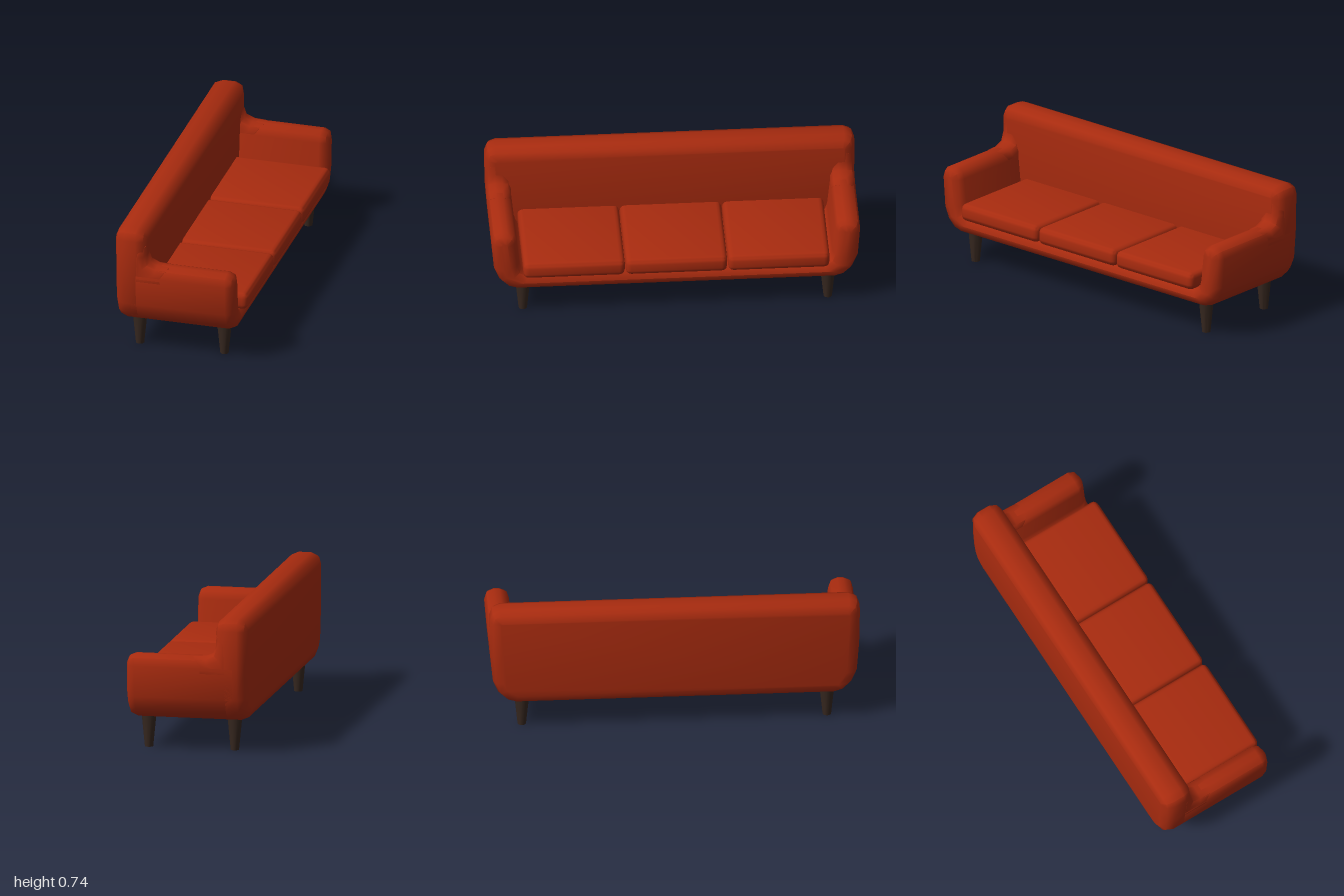
import * as THREE from 'three';
import { toCreasedNormals } from 'three/addons/utils/BufferGeometryUtils.js';
import { RoundedBoxGeometry } from 'three/addons/geometries/RoundedBoxGeometry.js';

const fabric = new THREE.MeshStandardMaterial({ color: 0xa82b0f });
const wood = new THREE.MeshStandardMaterial({ color: 0x36271f });

// Extrudes an outline between two depths, with rounded edges kept inside the outline
function slab(points, from, to, bevel) {
  const shape = new THREE.Shape(points.map(([a, b]) => new THREE.Vector2(a, b)));
  const geo = new THREE.ExtrudeGeometry(shape, {
    depth: to - from - 2 * bevel,
    bevelThickness: bevel, bevelSize: bevel, bevelOffset: -bevel, bevelSegments: 2,
  });
  geo.translate(0, 0, from + bevel);
  return geo;
}

// Completes a half outline by mirroring it
const mirrored = (half) => [...half, ...half.map(([a, b]) => [-a, b]).reverse()];

function addMesh(group, name, geo, material) {
  const mesh = new THREE.Mesh(toCreasedNormals(geo, 0.9), material);
  mesh.name = name;
  group.add(mesh);
  return mesh;
}

export function createModel() {
  const sofa = new THREE.Group();
  sofa.name = 'sofa';

  // Outer side curve shared by the back and the arms, bottom to top
  const side = [[0.86, 0.172], [0.91, 0.188], [0.955, 0.232], [0.983, 0.3], [0.996, 0.47]];

  // Backrest: full width, rounded top corners
  const backOutline = mirrored([...side, [1, 0.68], [0.985, 0.723], [0.942, 0.741]]);
  addMesh(sofa, 'backrest', slab(backOutline, -0.352, -0.175, 0.055).rotateY(Math.PI / 2), fabric);

  // Base and arms: one U-shaped section run from back to front
  const uOutline = mirrored([
    ...side, [0.984, 0.514], [0.945, 0.532], [0.912, 0.532], [0.875, 0.515],
    [0.862, 0.475], [0.847, 0.33], [0.835, 0.29], [0.8, 0.268],
  ]);
  addMesh(sofa, 'baseAndArms', slab(uOutline, -0.32, 0.317, 0.048).rotateY(Math.PI / 2), fabric);

  // Coves blending the arm tops into the backrest
  const cove = [
    [-0.27, 0.4], [-0.05, 0.4], [-0.05, 0.53], [-0.12, 0.533],
    [-0.16, 0.55], [-0.175, 0.592], [-0.177, 0.65], [-0.27, 0.65],
  ];
  for (const s of [1, -1]) {
    const geo = slab(cove, -0.066, 0.066, 0.045).translate(0, 0, s * 0.929);
    addMesh(sofa, s > 0 ? 'rightArmCove' : 'leftArmCove', geo, fabric);
  }

  // Three seat cushions
  for (let i = -1; i <= 1; i++) {
    const geo = new RoundedBoxGeometry(0.56, 0.097, 0.548, 2, 0.03);
    const cushion = addMesh(sofa, 'seatCushion', geo, fabric);
    cushion.position.set(0.068, 0.314, i * 0.553);
  }

  // Tapered legs
  for (const x of [-0.252, 0.221]) {
    for (const z of [-0.824, 0.824]) {
      const leg = addMesh(sofa, 'leg', new THREE.CylinderGeometry(0.042, 0.023, 0.19, 12), wood);
      leg.position.set(x, 0.095, z);
    }
  }
  return sofa;
}
